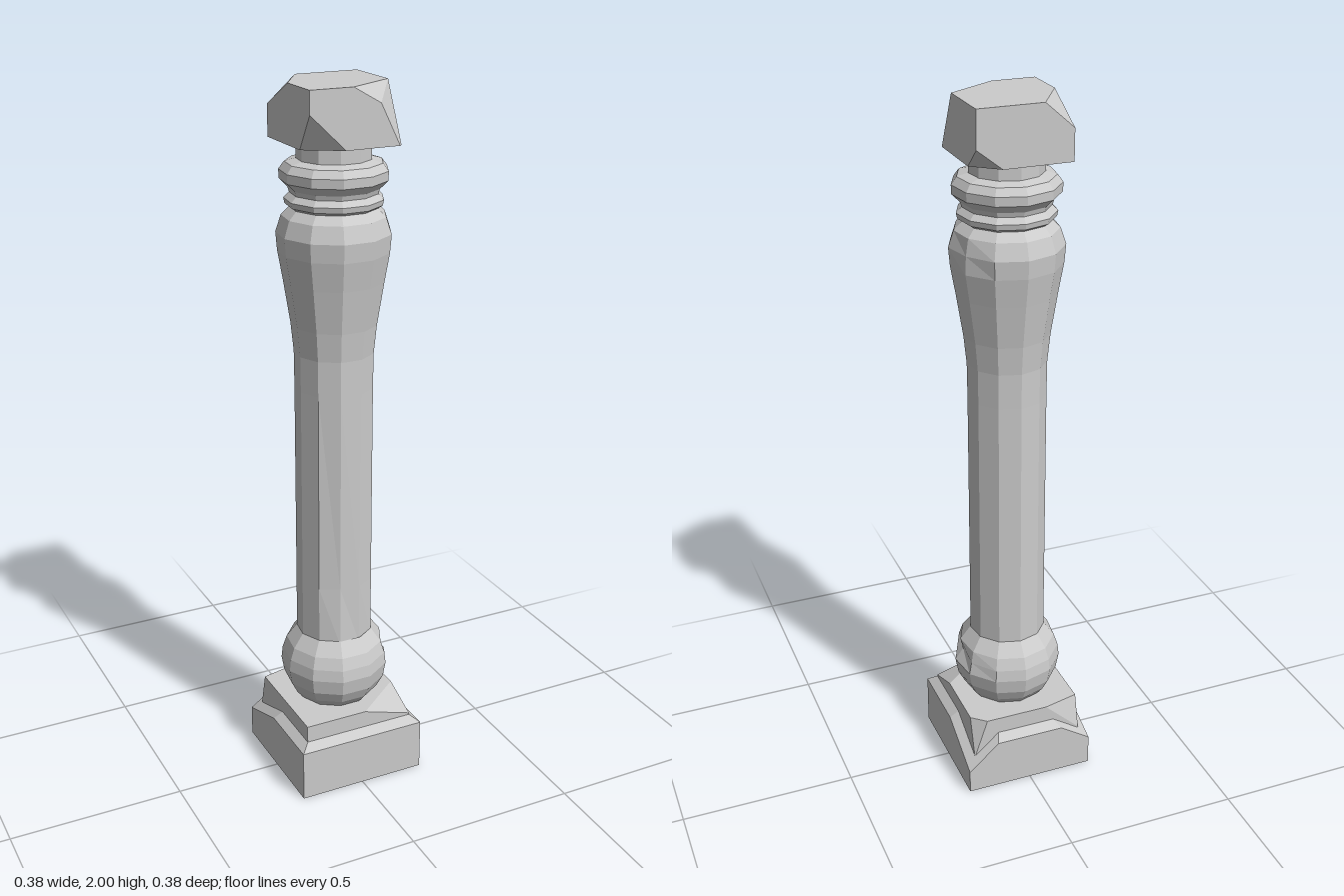
import * as THREE from 'three';
import { ConvexGeometry } from 'three/addons/geometries/ConvexGeometry.js';

const material = new THREE.MeshStandardMaterial({ color: 0xcccccc, flatShading: true });
const V = (p) => new THREE.Vector3(...p);

function add(group, name, geometry) {
  const mesh = new THREE.Mesh(geometry, material);
  mesh.name = name;
  group.add(mesh);
}

// Stacked square sections [halfWidth, y] as corner points
function squareStack(sections) {
  return sections.flatMap(([h, y]) => [[h, h], [-h, h], [-h, -h], [h, -h]].map(([x, z]) => V([x, y, z])));
}

// Stone block with corners knocked off; each chip is a plane through three points
function chippedBlock(sections, chips) {
  let points = squareStack(sections);
  const inside = V([0, (sections[0][1] + sections.at(-1)[1]) / 2, 0]);
  for (const chip of chips) {
    const plane = new THREE.Plane().setFromCoplanarPoints(...chip.map(V));
    if (plane.distanceToPoint(inside) > 0) plane.negate();
    const kept = points.filter((p) => plane.distanceToPoint(p) <= 1e-6);
    const lost = points.filter((p) => plane.distanceToPoint(p) > 1e-6);
    for (const a of lost) {
      for (const b of kept) {
        const da = plane.distanceToPoint(a), db = plane.distanceToPoint(b);
        if (db < -1e-6) kept.push(a.clone().lerp(b, da / (da - db)));
        if (kept.length > 400) break;
      }
    }
    // the hull drops the points that fall inside
    const hull = new ConvexGeometry(kept).getAttribute('position');
    const unique = new Map();
    for (let i = 0; i < hull.count; i++) {
      const p = new THREE.Vector3().fromBufferAttribute(hull, i);
      unique.set(p.toArray().map((c) => c.toFixed(4)).join(), p);
    }
    points = [...unique.values()];
  }
  return new ConvexGeometry(points);
}

// Eleven-sided turned part; dents are [side, row, radius factor]
function turned(profile, dents = []) {
  const geometry = new THREE.LatheGeometry(profile.map((p) => new THREE.Vector2(...p)), 11, Math.PI);
  const pos = geometry.getAttribute('position');
  for (const [side, row, k] of dents) {
    const i = side * profile.length + row;
    pos.setXYZ(i, pos.getX(i) * k, pos.getY(i), pos.getZ(i) * k);
  }
  return geometry;
}

export function createModel() {
  const column = new THREE.Group();
  column.name = 'column';

  // Base block with a bevelled top, chipped at the back corners
  add(column, 'baseBlock', chippedBlock([[0.19, 0], [0.19, 0.15], [0.165, 0.17]], [
    [[0.19, 0.15, -0.02], [0.19, 0.07, -0.19], [0.1, 0.15, -0.19]],
    [[-0.19, 0.15, -0.02], [-0.19, 0.09, -0.19], [-0.1, 0.15, -0.19]],
  ]));

  // Plinth
  add(column, 'plinth', chippedBlock([[0.165, 0.09], [0.165, 0.22]], [
    [[0.02, 0.22, 0.165], [0.165, 0.175, 0.165], [0.165, 0.22, 0.05]],
    [[0.125, 0.22, -0.165], [0.165, 0.22, -0.13], [0.165, 0.1, -0.165]],
    [[-0.06, 0.22, -0.165], [-0.165, 0.22, -0.14], [-0.165, 0.12, -0.165]],
  ]));

  // Ball foot with a notch on the left
  add(column, 'ballFoot', turned([
    [0.105, 0.215], [0.13, 0.245], [0.148, 0.28], [0.156, 0.325],
    [0.152, 0.36], [0.14, 0.395], [0.11, 0.435],
  ], [[8, 4, 0.87], [9, 4, 0.97]]));

  // Shaft with worn front edges, swelling towards the top
  add(column, 'shaft', turned([
    [0.109, 0.42], [0.109, 0.6], [0.109, 1.18], [0.11, 1.28], [0.118, 1.36],
    [0.137, 1.48], [0.151, 1.56], [0.155, 1.61], [0.14, 1.655], [0.115, 1.68],
  ], [[5, 1, 0.95], [6, 0, 0.96], [6, 1, 0.97], [9, 7, 0.96]]));

  // Neck rings
  add(column, 'neckRings', turned([
    [0.115, 1.675], [0.13, 1.685], [0.133, 1.7], [0.118, 1.715], [0.122, 1.728],
    [0.144, 1.75], [0.145, 1.775], [0.13, 1.795], [0.1, 1.803], [0.1, 1.85],
  ]));

  // Square capital with broken corners
  add(column, 'capital', chippedBlock([[0.13, 1.845], [0.13, 2]], [
    [[-0.01, 2, 0.13], [0.13, 1.92, 0.13], [0.13, 2, 0.045]],
    [[0.09, 2, 0.085], [0.13, 1.94, 0.075], [0.06, 1.97, 0.13]],
    [[-0.13, 2, 0], [-0.13, 1.93, -0.13], [-0.05, 2, -0.13]],
    [[-0.13, 1.94, 0.13], [-0.03, 1.845, 0.13], [-0.13, 1.845, 0.07]],
    [[0.13, 1.9, -0.13], [0.13, 1.845, -0.07], [0.06, 1.845, -0.13]],
  ]));

  return column;
}
